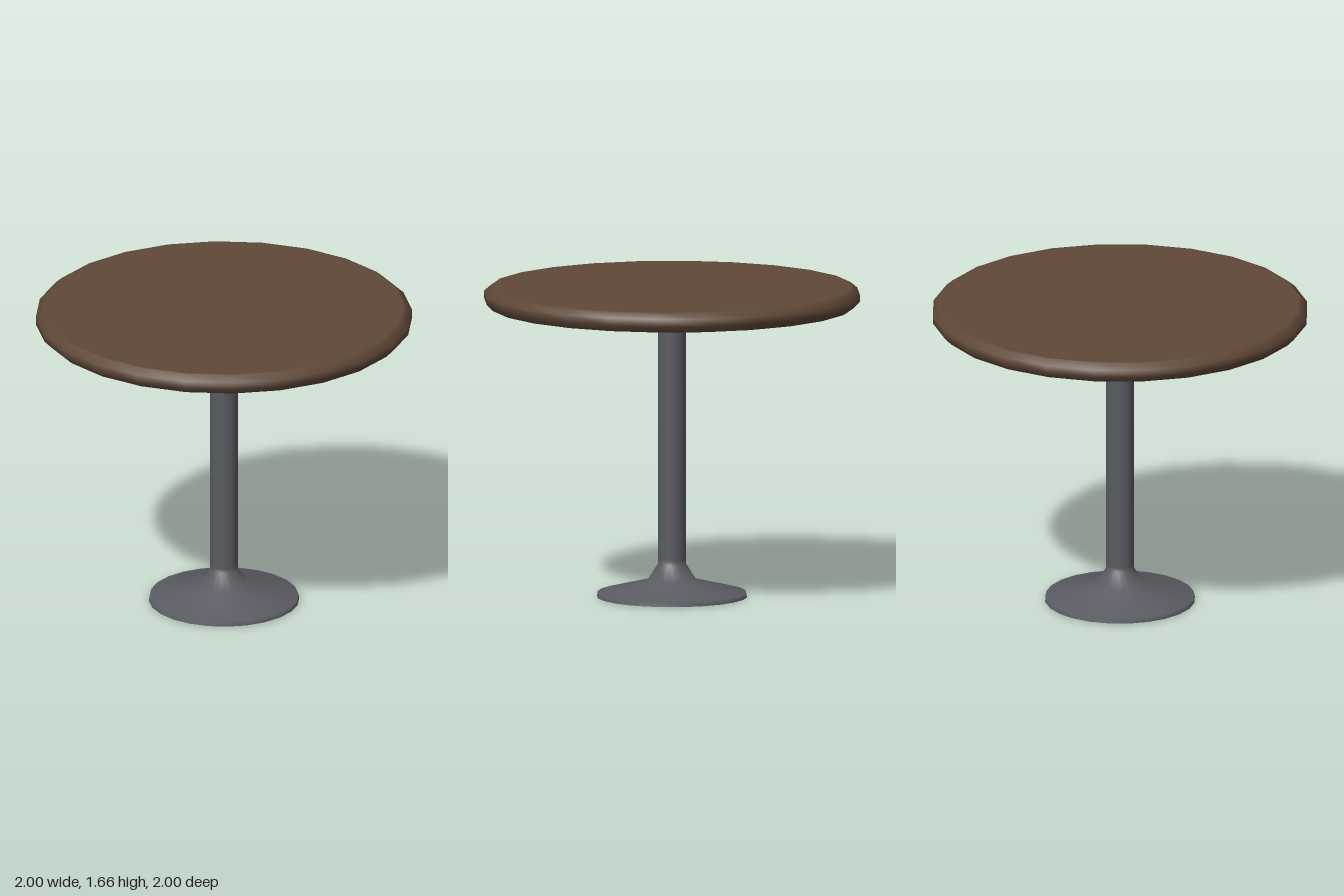
import * as THREE from 'three';

const SIDES = 24;

// Smooth turned part from [radius, height] pairs, listed bottom to top
function turned(name, profile, color, side = THREE.FrontSide) {
  const points = profile.map(([r, y]) => new THREE.Vector2(r, y));
  // start on +x so a corner lies on each axis
  const geometry = new THREE.LatheGeometry(points, SIDES, Math.PI / 2);
  const mesh = new THREE.Mesh(geometry, new THREE.MeshStandardMaterial({ color, side }));
  mesh.name = name;
  return mesh;
}

export function createModel() {
  const table = new THREE.Group();
  table.name = 'roundPedestalTable';

  // Round top with bevelled rim; the inner rings keep both faces flat
  table.add(turned('tabletop', [
    [0, 1.555], [0.955, 1.555], [0.965, 1.555],
    [1, 1.59], [1, 1.63],
    [0.965, 1.66], [0.955, 1.66], [0, 1.66],
  ], 0x604838));

  // Hollow pedestal: thin rim, sloping foot, collar and column in one shell
  table.add(turned('pedestal', [
    [0.4, 0], [0.395, 0.025],
    [0.13, 0.09], [0.075, 0.175],
    [0.075, 0.2], [0.075, 1.555],
  ], 0x5a5a62, THREE.DoubleSide));

  return table;
}
